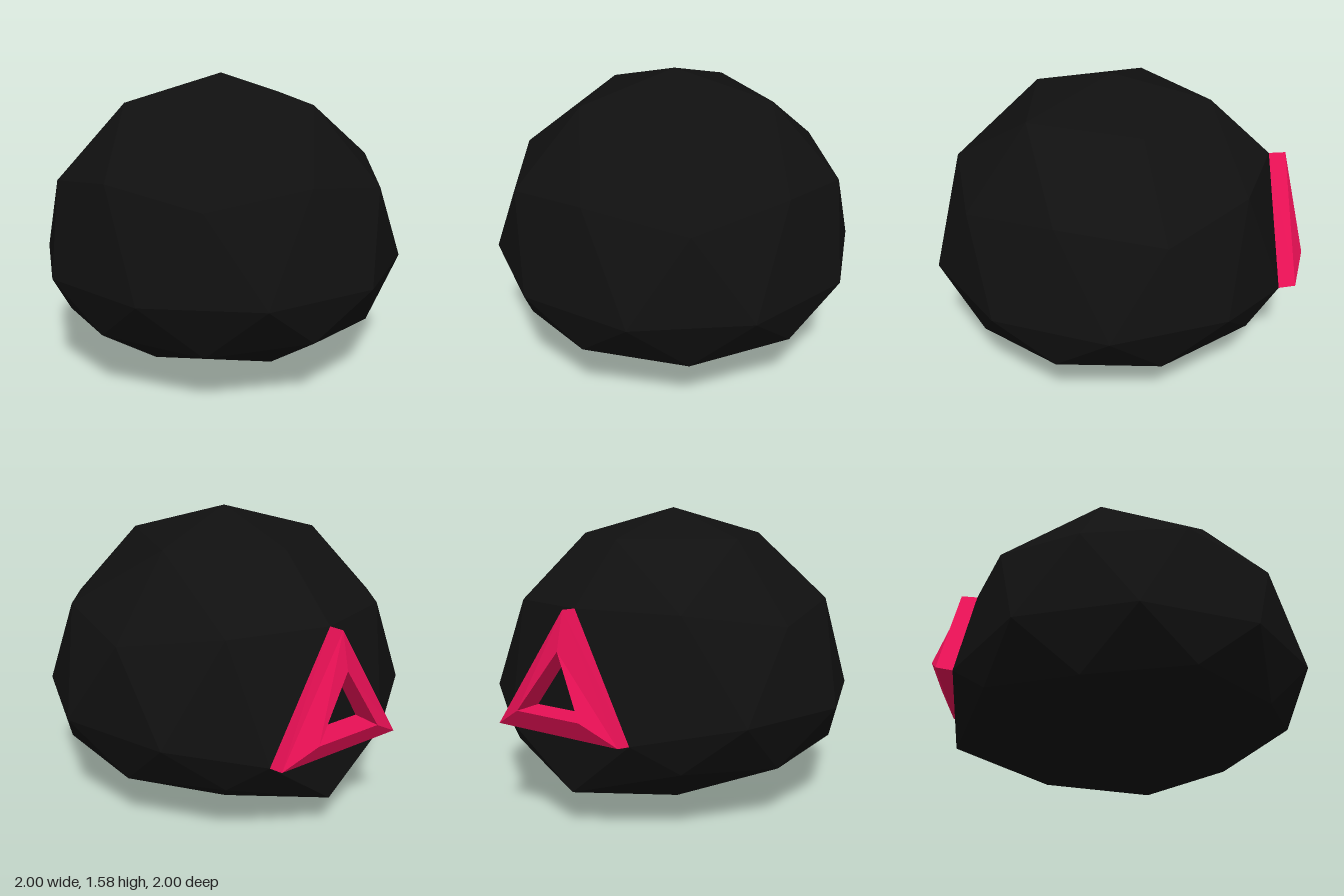
import * as THREE from 'three';

const black = new THREE.MeshStandardMaterial({ color: 0x101010 });
black.name = 'matte black';
const crimson = new THREE.MeshStandardMaterial({ color: 0xe81055 });
crimson.name = 'crimson';

// Corners of the flat back facet that carries the frame: apex, left, right
const facet = [[0, 1.12, -0.81], [0.4, 0.5, -0.857], [-0.355, 0.5, -0.857]];

// Faceted ball with a vertex at each pole, flattened underneath and squared off at the back
function makeBody() {
  const t = (1 + Math.sqrt(5)) / 2;
  const geo = new THREE.IcosahedronGeometry(1, 1).toNonIndexed?.() ?? null;
  geo.rotateX(-Math.atan2(t, -1));
  const pulled = [...facet, [0, 0.2, -0.855]].map(p => new THREE.Vector3(...p));
  const pos = geo.attributes.position;
  const v = new THREE.Vector3();
  for (let i = 0; i < pos.count; i++) {
    v.fromBufferAttribute(pos, i);
    if (v.y < 0) v.y *= 0.5 - 0.08 * v.y;
    v.y += 0.58;
    v.z += 0.05;
    const target = pulled.find(p => p.distanceTo(v) < 0.2);
    if (target) v.copy(target);
    pos.setXYZ(i, v.x, v.y, v.z);
  }
  geo.computeVertexNormals();
  return geo;
}

// Triangular frame: outer wall, sloping face, then inner wall back to the body
function makeFrame() {
  const rings = [
    facet,
    [[0, 1.125, -0.9], [0.4, 0.515, -0.945], [-0.355, 0.515, -0.945]],
    [[0, 0.93, -0.945], [0.22, 0.62, -1], [-0.17, 0.62, -1]],
    [[0, 0.93, -0.824], [0.22, 0.62, -0.847], [-0.17, 0.62, -0.847]],
  ];
  const points = [];
  for (let r = 0; r < 3; r++) {
    for (let i = 0; i < 3; i++) {
      const j = (i + 1) % 3;
      const a = rings[r][i], b = rings[r][j], c = rings[r + 1][j], d = rings[r + 1][i];
      points.push(...a, ...b, ...c, ...a, ...c, ...d);
    }
  }
  const geo = new THREE.BufferGeometry();
  geo.setAttribute('position', new THREE.Float32BufferAttribute(points, 3));
  geo.computeVertexNormals();
  return geo;
}

export function createModel() {
  const group = new THREE.Group();
  const body = new THREE.Mesh(makeBody(), black);
  body.name = 'body';
  const frame = new THREE.Mesh(makeFrame(), crimson);
  frame.name = 'triangleFrame';
  group.add(body, frame);
  return group;
}
